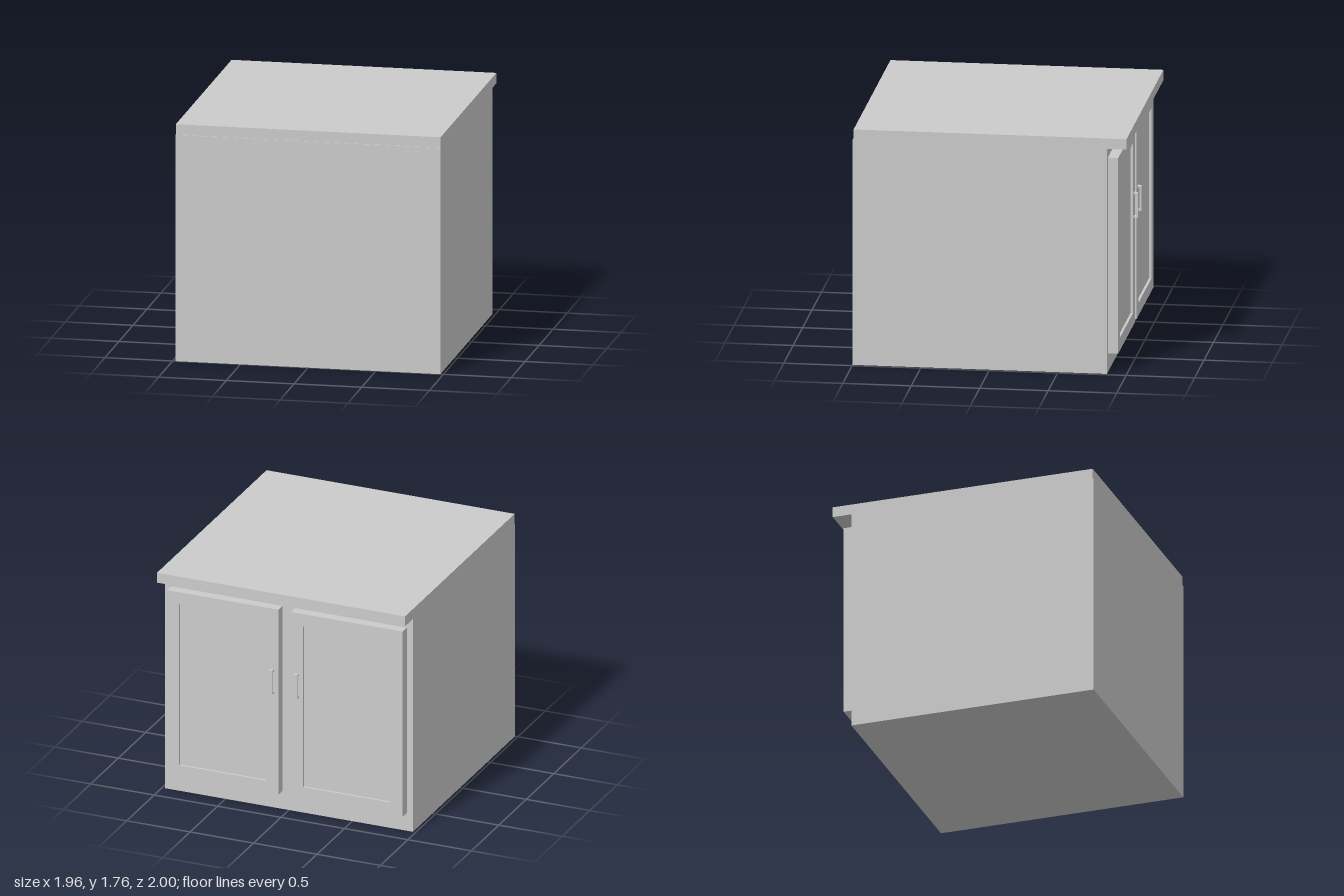
import * as THREE from 'three';

const material = new THREE.MeshStandardMaterial({ color: 0xcccccc });

// Box given by its minimum and maximum corners
function box(name, [x0, y0, z0], [x1, y1, z1]) {
  const mesh = new THREE.Mesh(new THREE.BoxGeometry(x1 - x0, y1 - y0, z1 - z0), material);
  mesh.position.set((x0 + x1) / 2, (y0 + y1) / 2, (z0 + z1) / 2);
  mesh.name = name;
  return mesh;
}

// Rectangle outline for a shape or a hole
function rectangle(path, x0, y0, x1, y1) {
  path.moveTo(x0, y0);
  path.lineTo(x1, y0);
  path.lineTo(x1, y1);
  path.lineTo(x0, y1);
  path.closePath();
  return path;
}

const BACK = -0.857;       // cabinet face that carries the doors
const DOOR_FACE = -0.933;  // outer face of the door frames

function createDoor(side) {
  const door = new THREE.Group();
  door.name = side > 0 ? 'leftDoor' : 'rightDoor';
  const span = (a, b) => [Math.min(side * a, side * b), Math.max(side * a, side * b)];
  const [x0, x1] = span(0.05, 0.93);
  const y0 = 0.142, y1 = 1.607, rail = 0.096, recess = 0.018;

  // Frame with an open centre
  const shape = rectangle(new THREE.Shape(), x0, y0, x1, y1);
  shape.holes.push(rectangle(new THREE.Path(), x0 + rail, y0 + rail, x1 - rail, y1 - rail));
  const frame = new THREE.Mesh(
    new THREE.ExtrudeGeometry(shape, { depth: BACK - DOOR_FACE, bevelEnabled: false }), material);
  frame.position.z = DOOR_FACE;
  frame.name = 'doorFrame';
  door.add(frame);

  // Recessed centre panel
  door.add(box('doorPanel', [x0 + rail, y0 + rail, DOOR_FACE + recess], [x1 - rail, y1 - rail, BACK]));

  // Handle: upright grip on two short posts
  const [h0, h1] = span(0.084, 0.113);
  const low = 0.94, high = 1.13, t = 0.014, outer = -0.963;
  const handle = new THREE.Group();
  handle.name = 'handle';
  handle.add(box('grip', [h0, low, outer], [h1, high, outer + t]));
  for (const y of [low, high - t]) {
    handle.add(box('handlePost', [h0, y, outer + t], [h1, y + t, DOOR_FACE]));
  }
  door.add(handle);
  return door;
}

export function createModel() {
  const cabinet = new THREE.Group();
  cabinet.name = 'cabinet';
  cabinet.add(box('body', [-0.978, 0, BACK], [0.978, 1.685, 1]));
  // Worktop overhangs the door side
  cabinet.add(box('worktop', [-0.978, 1.685, -1], [0.978, 1.763, 0.993]));
  for (const side of [1, -1]) cabinet.add(createDoor(side));
  return cabinet;
}
